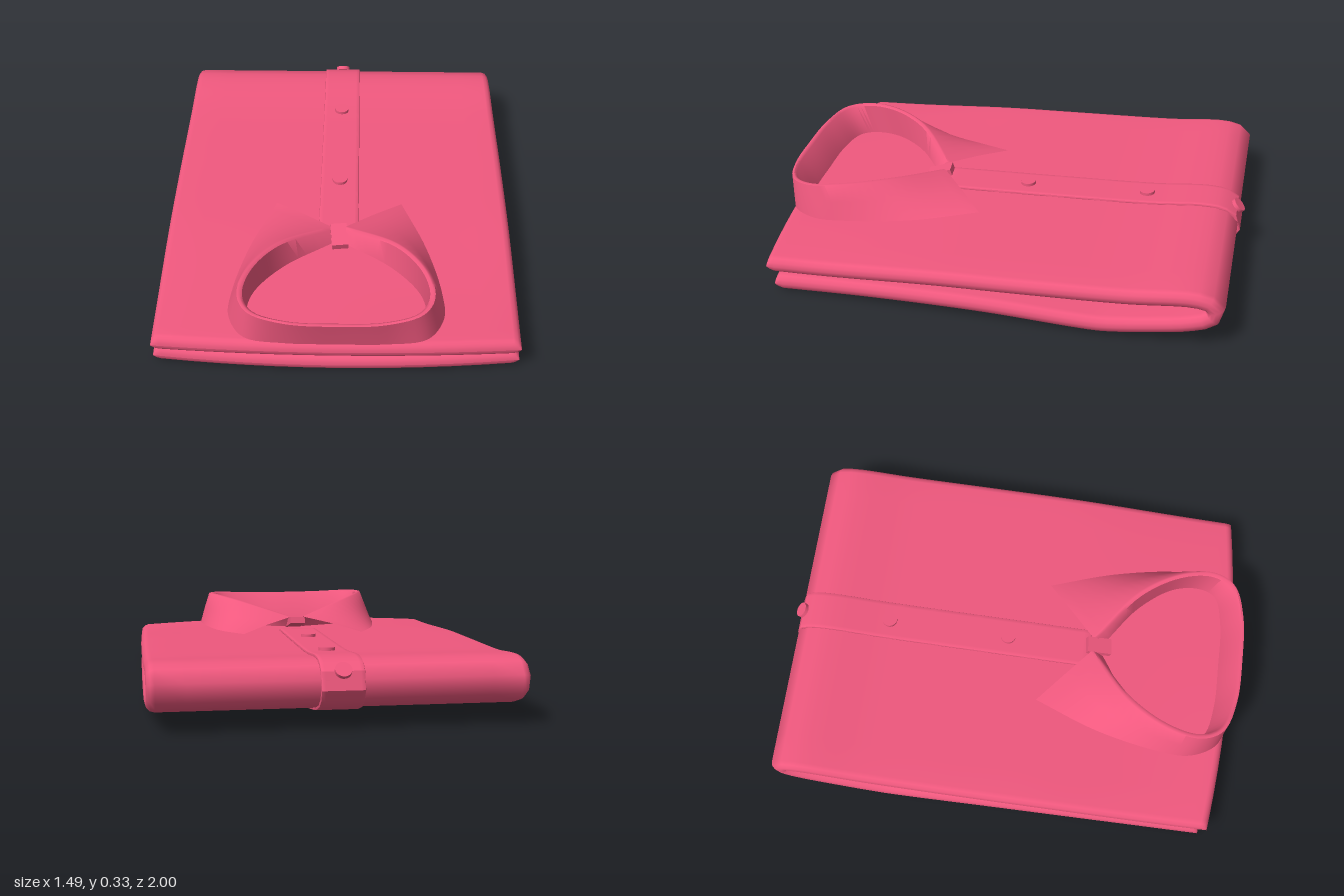
import * as THREE from 'three';
import { toCreasedNormals } from 'three/addons/utils/BufferGeometryUtils.js';

const cloth = new THREE.MeshStandardMaterial({ color: 0xf0587e });
const thinCloth = new THREE.MeshStandardMaterial({ color: 0xf0587e, side: THREE.DoubleSide });

// Side profile of the folded cloth (z, y): upper layer, fold at the back, lower layer
const fold = new THREE.CatmullRomCurve3([
  [0.97, 0.138], [0.6, 0.15], [0.2, 0.168], [-0.2, 0.185], [-0.6, 0.205], [-0.85, 0.228],
  [-0.92, 0.217], [-0.95, 0.185], [-0.928, 0.145], [-0.85, 0.112], [-0.7, 0.082],
  [-0.5, 0.054], [-0.4, 0.054], [0, 0.068], [0.5, 0.06], [0.94, 0.038],
].map(([z, y]) => new THREE.Vector3(0, y, z)), false, 'centripetal');
fold.arcLengthDivisions = 600;
const LENGTH = fold.getLength();

// Point and outward normal on the profile
function frameAt(u) {
  const t = fold.getTangentAt(u);
  return { p: fold.getPointAt(u), n: new THREE.Vector3(0, -t.z, t.y) };
}

// Joins equal rows of points into a surface
function skin(rows, closed) {
  const n = rows[0].length, index = [];
  for (let i = 0; i < rows.length - 1; i++) {
    for (let j = 0; j < (closed ? n : n - 1); j++) {
      const k = (j + 1) % n;
      const a = i * n + j, b = i * n + k, c = (i + 1) * n + k, d = (i + 1) * n + j;
      index.push(a, d, c, a, c, b);
    }
  }
  const geo = new THREE.BufferGeometry().setFromPoints(rows.flat());
  geo.setIndex(index);
  geo.computeVertexNormals();
  return geo;
}

// Rounded slab cross-section swept along the profile; ends and sides are rounded by r
function sweep(halfWidth, low, high, r, u0, u1, steps) {
  const mid = (low + high) / 2, half = (high - low) / 2;
  const stations = [];
  const e = r / LENGTH;
  for (let i = 0; i <= 5; i++) {
    const a = (i / 5) * Math.PI / 2;
    stations.push([u0 + e * (1 - Math.cos(a)), Math.sin(a)]);
  }
  for (let i = 1; i < steps; i++) stations.push([u0 + e + (u1 - u0 - 2 * e) * i / steps, 1]);
  for (let i = 5; i >= 0; i--) {
    const a = (i / 5) * Math.PI / 2;
    stations.push([u1 - e * (1 - Math.cos(a)), Math.sin(a)]);
  }
  const rows = stations.map(([u, k]) => {
    const { p, n } = frameAt(u);
    const inner = halfWidth - r, ring = [];
    const add = (x, o) => ring.push([x, mid + o * k]);
    for (let i = 0; i <= 12; i++) add(inner * (1 - i / 6), half);
    for (let i = 1; i < 6; i++) add(-inner - r * Math.sin(i * Math.PI / 6), half * Math.cos(i * Math.PI / 6));
    for (let i = 0; i <= 12; i++) add(inner * (i / 6 - 1), -half);
    for (let i = 1; i < 6; i++) add(inner + r * Math.sin(i * Math.PI / 6), -half * Math.cos(i * Math.PI / 6));
    return ring.map(([x, o]) => {
      const v = p.clone().addScaledVector(n, o);
      // bowed front edge and slightly wider middle
      const q = (x / 0.73) ** 2, front = THREE.MathUtils.smoothstep(v.z, 0.1, 1);
      const wide = 1 + 0.012 * Math.cos(v.z * Math.PI / 2);
      return new THREE.Vector3(x * wide, v.y - (u < 0.5 ? 0.016 * q * front : 0), v.z - 0.045 * q * front);
    });
  });
  return skin(rows, true);
}

// Mirrors half a collar line (back centre to front) and samples it
function collarLine(half, count = 72) {
  const pts = half.map(([x, y, z]) => new THREE.Vector3(x, y, z));
  const all = [...pts.slice(1).reverse().map((p) => new THREE.Vector3(-p.x, p.y, p.z)), ...pts];
  return new THREE.CatmullRomCurve3(all, false, 'centripetal').getPoints(count);
}

export function createModel() {
  const group = new THREE.Group();
  const add = (name, geo, material = cloth) => {
    const mesh = new THREE.Mesh(geo, material);
    mesh.name = name;
    group.add(mesh);
    return mesh;
  };

  // Folded body
  add('foldedBody', sweep(0.735, -0.037, 0.037, 0.034, 0, 1, 90));

  // Button strip wrapping over the fold
  add('buttonStrip', toCreasedNormals(sweep(0.085, 0.03, 0.047, 0.004, 0.166, 0.627, 60), 0.6));

  // Buttons
  for (const u of [0.262, 0.401, 0.496]) {
    const { p, n } = frameAt(u);
    const button = add('button', new THREE.CylinderGeometry(0.033, 0.033, 0.016, 28));
    button.position.copy(p).addScaledVector(n, 0.052);
    button.rotation.x = Math.atan2(n.z, n.y);
  }

  // Collar: inner stand, rolled rim and outer leaf ending in two points
  const outerHem = collarLine([[0, 0.18, 0.965], [0.2, 0.18, 0.962], [0.36, 0.183, 0.935], [0.43, 0.185, 0.82],
    [0.43, 0.19, 0.68], [0.375, 0.198, 0.4], [0.275, 0.217, 0.12]]);
  const rim = collarLine([[0, 0.305, 0.998], [0.2, 0.308, 0.988], [0.34, 0.318, 0.94], [0.388, 0.325, 0.85],
    [0.365, 0.332, 0.7], [0.255, 0.318, 0.515], [0.035, 0.262, 0.335]]);
  const standHem = collarLine([[0, 0.18, 0.91], [0.2, 0.18, 0.905], [0.33, 0.18, 0.87], [0.36, 0.185, 0.8],
    [0.34, 0.19, 0.68], [0.225, 0.2, 0.53], [0.03, 0.21, 0.39]]);
  const inward = (p, d, drop) => {
    const toCentre = new THREE.Vector3(-p.x, 0, 0.7 - p.z).setLength(d);
    return p.clone().add(toCentre).setY(p.y - drop);
  };
  const rimTop = rim.map((p) => inward(p, 0.01, -0.003));
  const rimInner = rim.map((p) => inward(p, 0.022, 0.004));
  const leafMid = rim.map((p, i) => p.clone().lerp(outerHem[i], 0.5).add(new THREE.Vector3(0, 0.004, 0)));
  const collar = skin([standHem, rimInner, rimTop, rim, leafMid, outerHem], false);
  add('collar', toCreasedNormals(collar, 0.9), thinCloth);

  // Overlapping tab closing the collar stand
  const tab = add('collarTab', new THREE.BoxGeometry(0.07, 0.03, 0.11));
  tab.position.set(0.005, 0.234, 0.367);
  tab.rotation.set(0.3, 0.1, 0);

  return group;
}
